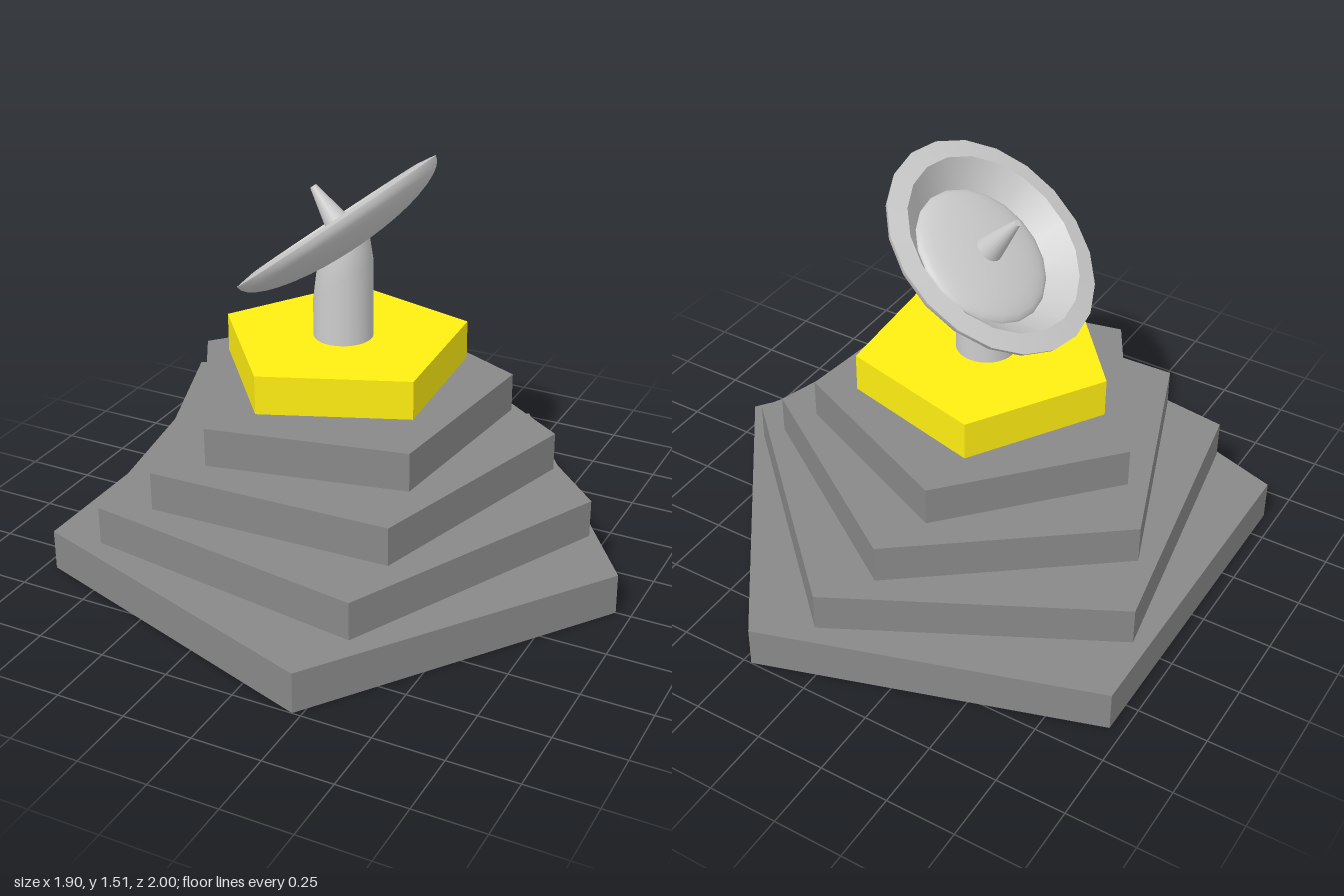
import * as THREE from 'three';

const AXIS_X = -0.105; // common axis of the tower
const TILT = THREE.MathUtils.degToRad(38);

function part(name, geometry, material, parent) {
  const mesh = new THREE.Mesh(geometry, material);
  mesh.name = name;
  parent.add(mesh);
  return mesh;
}

function lathe(points, segments) {
  return new THREE.LatheGeometry(points.map(([r, y]) => new THREE.Vector2(r, y)), segments);
}

// Elliptical arc of (radius, height) points
function arc(radius, depth, base, from, to, n = 8) {
  return Array.from({ length: n + 1 }, (_, i) => {
    const a = from + (to - from) * i / n;
    return [Math.max(0, radius * Math.cos(a)), base + depth * Math.sin(a)];
  });
}

export function createModel() {
  const group = new THREE.Group();
  const grey = new THREE.MeshStandardMaterial({ color: 0xcccccc });
  const darkGrey = new THREE.MeshStandardMaterial({ color: 0x888888, flatShading: true });
  const yellow = new THREE.MeshStandardMaterial({ color: 0xffee11, flatShading: true });

  const tower = new THREE.Group();
  tower.name = 'tower';
  tower.position.x = AXIS_X;
  group.add(tower);

  // Five pentagonal tiers, each smaller and turned 10 degrees further
  for (let i = 0; i < 5; i++) {
    const radius = 1.05 - 0.15 * i;
    const height = i === 0 ? 0.15 : 0.14;
    const geometry = new THREE.CylinderGeometry(radius, radius, height, 5, 1, false, Math.PI / 2);
    const tier = part(i === 4 ? 'topTier' : 'tier' + (i + 1), geometry, i === 4 ? yellow : darkGrey, tower);
    tier.position.y = 0.075 + 0.175 * i;
    tier.rotation.y = THREE.MathUtils.degToRad(10 * i);
  }

  // Mast, its top slanted to meet the back of the dish
  const mast = lathe([[0, 0.08], [0.105, 0.08], [0.105, 0.08], [0.105, 1.05], [0.09, 1.158]], 32);
  const p = mast.attributes.position;
  for (let i = 0; i < p.count; i++) {
    if (p.getY(i) > 1) p.setY(i, p.getY(i) + 0.78 * p.getX(i));
  }
  mast.computeVertexNormals();
  part('mast', mast, grey, tower);

  // Tilted dish: hull, lip, sloping wall, floor and feed horn
  const dish = new THREE.Group();
  dish.name = 'dish';
  dish.position.set(-0.13, 1.26, 0);
  dish.rotation.z = TILT;
  group.add(dish);
  const SIDES = 20;
  part('dishHull', lathe(arc(0.405, 0.112, 0, -Math.PI / 2, 0, 10), SIDES), grey, dish);
  part('dishLip', lathe([[0.405, 0], [0.335, 0.01]], SIDES), grey, dish);
  part('dishWall', lathe([[0.335, 0.01], [0.255, -0.075]], SIDES), grey, dish);
  part('dishFloor', lathe(arc(0.255, 0.05, -0.075, 0, Math.PI / 2), SIDES), grey, dish);
  const horn = part('feedHorn', new THREE.CylinderGeometry(0.012, 0.052, 0.182, 20), grey, dish);
  horn.position.y = 0.051;

  return group;
}
